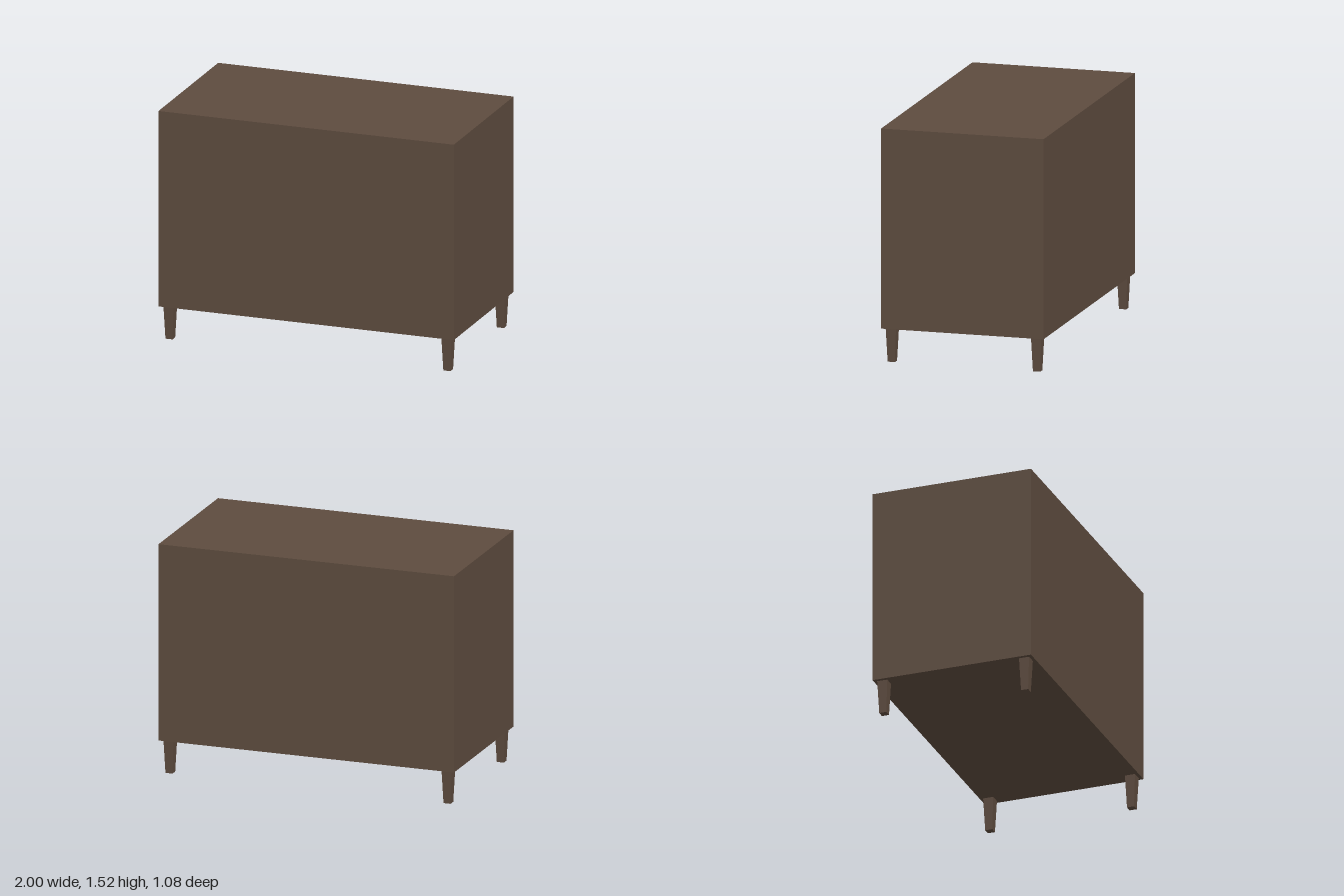
import * as THREE from 'three';

const LEG_HEIGHT = 0.22;
const HEIGHT = 1.52;
const WIDTH = 2;
const DEPTH = 1.075;

// Square leg tapering towards the floor, with its foot at y = 0
function taperedLeg(topWidth, footWidth, height) {
  const geometry = new THREE.BoxGeometry(topWidth, height, topWidth);
  geometry.translate(0, height / 2, 0);
  const p = geometry.attributes.position;
  for (let i = 0; i < p.count; i++) {
    const s = THREE.MathUtils.lerp(footWidth / topWidth, 1, p.getY(i) / height);
    p.setX(i, p.getX(i) * s);
    p.setZ(i, p.getZ(i) * s);
  }
  geometry.computeVertexNormals();
  return geometry;
}

export function createModel() {
  const model = new THREE.Group();
  model.name = 'cabinet';

  const wood = new THREE.MeshStandardMaterial({ color: 0x5e4c3f });
  wood.name = 'dark brown wood';

  // Plain cabinet body
  const bodyHeight = HEIGHT - LEG_HEIGHT;
  const body = new THREE.Mesh(new THREE.BoxGeometry(WIDTH, bodyHeight, DEPTH), wood);
  body.name = 'body';
  body.position.y = LEG_HEIGHT + bodyHeight / 2;
  model.add(body);

  // One leg near each corner
  const legGeometry = taperedLeg(0.068, 0.048, LEG_HEIGHT);
  for (const [zSide, end] of [[1, 'front'], [-1, 'back']]) {
    for (const [xSide, side] of [[1, 'Left'], [-1, 'Right']]) {
      const leg = new THREE.Mesh(legGeometry, wood);
      leg.name = `${end}${side}Leg`;
      leg.position.set(xSide * 0.941, 0, zSide * 0.481);
      model.add(leg);
    }
  }

  return model;
}
